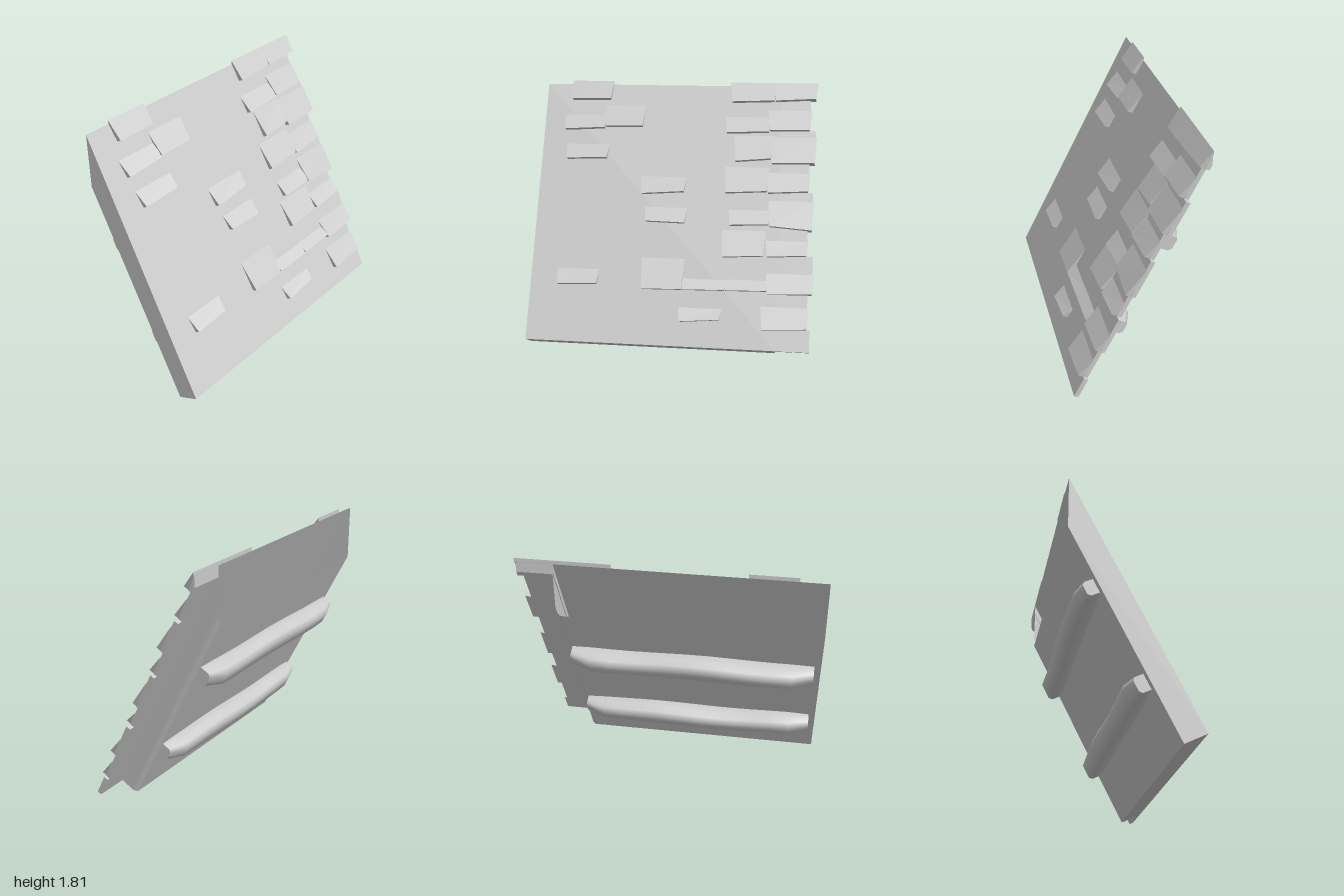
import * as THREE from 'three';

const grey = new THREE.MeshStandardMaterial({ color: 0xcccccc });
const greyThin = new THREE.MeshStandardMaterial({ color: 0xcccccc, side: THREE.DoubleSide });

// Slope frame: x across, y up the slope, z out of the roof face
const Y0 = 0.078, Z0 = 0.427, COS = 0.8944;
const topAt = (n) => 1.91 + 2 * n; // vertical cut at the ridge
const slopeAt = (y) => (y - Y0) / COS;

// Applies a rule to every vertex
function reshape(geo, rule) {
  const p = geo.attributes.position;
  for (let i = 0; i < p.count; i++) p.setXYZ(i, ...rule(p.getX(i), p.getY(i), p.getZ(i)));
  geo.computeVertexNormals();
  return geo;
}

function mesh(name, geo, mat = grey) {
  const m = new THREE.Mesh(geo, mat);
  m.name = name;
  return m;
}

// Side profile of [slope, normal] points, swept across by a rule for (slope, normal, u)
function prism(profile, rule) {
  const shape = new THREE.Shape(profile.map(([a, b]) => new THREE.Vector2(a, b)));
  return reshape(new THREE.ExtrudeGeometry(shape, { depth: 1, bevelEnabled: false }), rule);
}

// Hollow panel, open at the ridge, with one rounded back edge
function panelGeometry() {
  const depth = 0.168, r = 0.035;
  const pts = [[-1, 0], [-1, -depth]];
  for (let i = 0; i <= 4; i++) {
    const a = (i / 4) * Math.PI / 2;
    pts.push([0.75 - r + r * Math.sin(a), -depth + r - r * Math.cos(a)]);
  }
  pts.push([0.75, 0]);
  const shape = new THREE.Shape(pts.map(([a, b]) => new THREE.Vector2(a, b)));
  const geo = new THREE.ExtrudeGeometry(shape, { depth: 1, bevelEnabled: false });
  // drop the cap at the ridge end
  const p = geo.attributes.position, kept = [];
  for (let i = 0; i < p.count; i += 3) {
    if (p.getZ(i) + p.getZ(i + 1) + p.getZ(i + 2) < 0.01) continue;
    for (let k = i; k < i + 3; k++) kept.push(p.getX(k), p.getY(k), p.getZ(k));
  }
  const open = new THREE.BufferGeometry();
  open.setAttribute('position', new THREE.Float32BufferAttribute(kept, 3));
  return reshape(open, (x, n, s) => [x, (1 - s) * topAt(n), n]);
}

// Raised shingle: left, right, lower edge height at left and right, visible side height
function shingleGeometry([xl, xr, yl, yr, h]) {
  const t = 0.036, len = h / COS, low = slopeAt((yl + yr) / 2);
  const ridge = yl > 1.6;
  const top = topAt(0) - low;
  const profile = ridge
    ? [[0, 0], [top, 0], [top + 0.024, 0.012], [0, t]]
    : [[0, 0], [len, 0], [0, t]];
  return prism(profile, (v, n, u) => {
    const k = Math.min(v / len, 1);
    const tilt = (u - 0.5) * (yr - yl) / COS * (1 - k);
    return [xl + (xr - xl) * u + (u - 0.5) * 0.03 * (k - 0.3), low + v + tilt, n];
  });
}

// Rough-hewn batten with thinner ends
function battenGeometry(center, phase) {
  const geo = new THREE.CylinderGeometry(1, 1, 2, 12, 12);
  const clamp = (a) => THREE.MathUtils.clamp(a * 1.25, -1, 1);
  return reshape(geo, (a, s, b) => {
    const end = THREE.MathUtils.smoothstep(1 - Math.abs(s), 0, 0.2);
    const wob = Math.sin(s * 5 + phase);
    const half = 0.052 + 0.02 * end + 0.004 * wob;
    const back = -0.25 - 0.05 * end - 0.005 * Math.cos(s * 4 + phase);
    const front = -0.15;
    // cylinder axis turns onto x: (a, s, b) -> (s, -a, b)
    return [-0.125 + 0.83 * s, center - clamp(a) * half + 0.005 * wob,
      (front + back) / 2 + clamp(b) * (front - back) / 2];
  });
}

const SHINGLES = [
  [0.08, 0.365, 0.23, 0.25, 0.08], [0.65, 0.96, 0.2, 0.215, 0.14],
  [-0.8, -0.515, 0.435, 0.445, 0.1], [-0.2, 0.09, 0.425, 0.43, 0.2],
  [0.09, 0.39, 0.43, 0.435, 0.07], [0.39, 0.68, 0.435, 0.44, 0.07],
  [0.68, 0.99, 0.42, 0.43, 0.13],
  [0.36, 0.65, 0.645, 0.66, 0.17], [0.67, 0.95, 0.655, 0.67, 0.1],
  [-0.2, 0.085, 0.86, 0.855, 0.1], [0.4, 0.68, 0.85, 0.86, 0.1],
  [0.68, 0.98, 0.85, 0.83, 0.18],
  [-0.24, 0.07, 1.04, 1.06, 0.11], [0.36, 0.66, 1.06, 1.075, 0.17],
  [0.66, 0.95, 1.065, 1.08, 0.13],
  [-0.81, -0.51, 1.265, 1.275, 0.1], [0.42, 0.68, 1.27, 1.29, 0.17],
  [0.68, 0.99, 1.26, 1.265, 0.18],
  [-0.84, -0.54, 1.465, 1.48, 0.1], [-0.54, -0.26, 1.49, 1.495, 0.15],
  [0.35, 0.66, 1.46, 1.47, 0.11], [0.66, 0.95, 1.48, 1.485, 0.14],
  [-0.805, -0.51, 1.675, 1.68, 0.13], [0.38, 0.695, 1.67, 1.68, 0.13],
  [0.695, 0.99, 1.68, 1.695, 0.12],
];

export function createModel() {
  const model = new THREE.Group();
  model.name = 'roofSection';
  const slope = new THREE.Group();
  slope.name = 'slopedRoof';
  slope.position.set(0, Y0, Z0);
  slope.rotation.x = -Math.atan(0.5);
  model.add(slope);

  slope.add(mesh('roofPanel', panelGeometry(), greyThin));

  const shingles = new THREE.Group();
  shingles.name = 'shingles';
  for (const s of SHINGLES) shingles.add(mesh('shingle', shingleGeometry(s)));
  slope.add(shingles);

  // Uneven overhang, one strip per course
  const courses = [[0.98, 0], ...SHINGLES.filter((s) => s[1] > 0.9).map((s) => [s[1], slopeAt(s[3])])];
  const overhang = new THREE.Group();
  overhang.name = 'overhang';
  courses.forEach(([xr, v0], i) => {
    const last = i === courses.length - 1, d = -0.032;
    const v1 = last ? topAt(0) : courses[i + 1][1];
    const profile = [[v0, d], [last ? topAt(d) : v1, d], [v1, 0], [v0, 0]];
    overhang.add(mesh('overhangStrip', prism(profile, (v, n, u) => [0.745 + (xr - 0.745) * u, v, n])));
  });
  slope.add(overhang);

  // Battens across the back
  [0.44, 1.145].forEach((v, i) => slope.add(mesh('batten', battenGeometry(v, i * 2))));
  return model;
}
